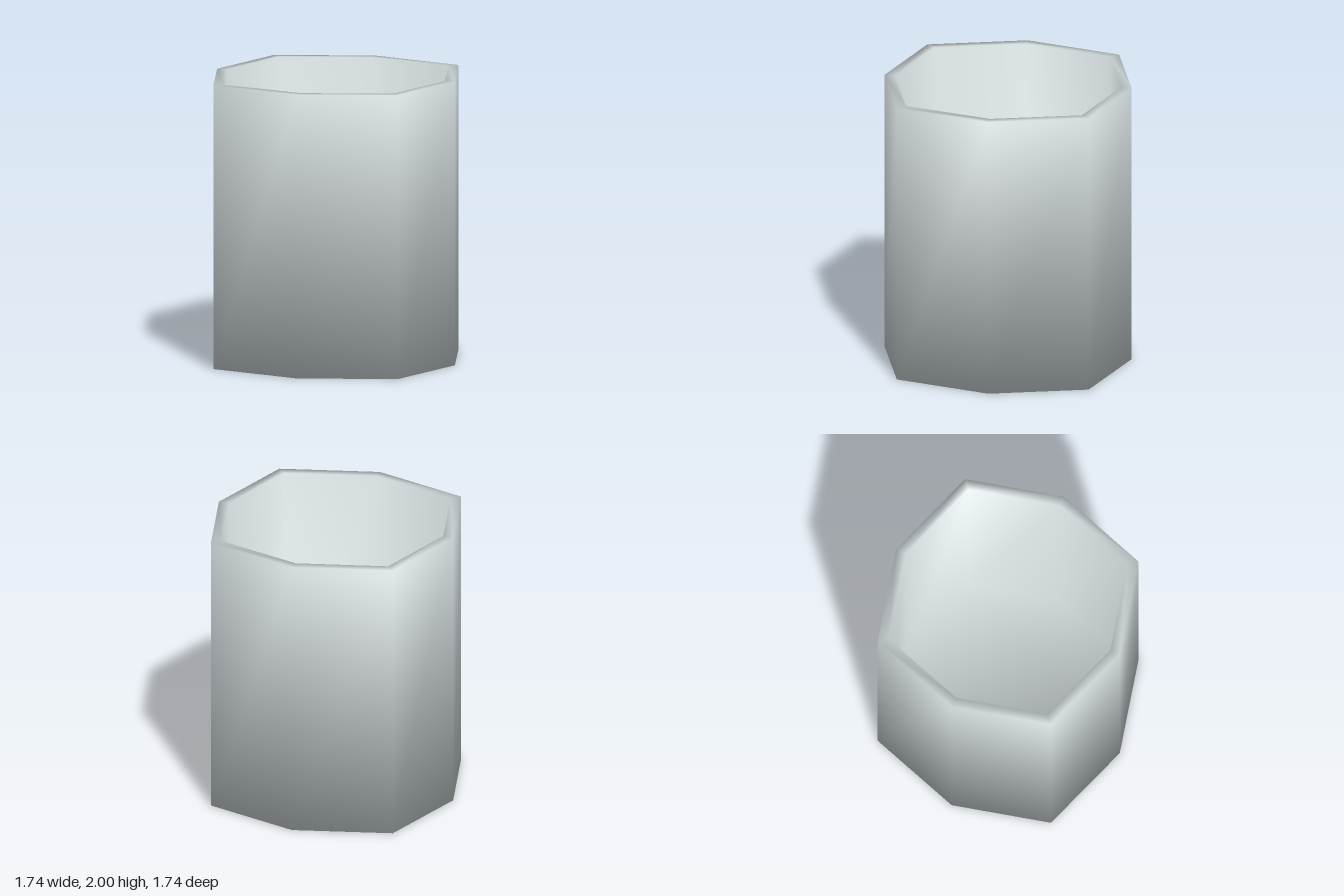
import * as THREE from 'three';

const SIDES = 8;
const HEIGHT = 2;
const FLOOR = 0.07;

// One octagonal loop: alternating radii on the axes and the diagonals.
// Each corner normal blends the two walls (pointing outward or inward)
// with the adjoining flat face (pointing up or down).
function ring(y, axisR, diagR, outward, up, reflex = false) {
  const loop = [];
  for (let i = 0; i < SIDES; i++) {
    const a = (i / SIDES) * Math.PI * 2;
    const r = i % 2 ? diagR : axisR;
    const corner = i % 2 ? 122.2 : 147.8; // interior angle in degrees
    const radial = outward * 180 * Math.sin(THREE.MathUtils.degToRad(corner / 2));
    const vertical = up * (reflex ? 360 - corner : corner);
    loop.push({
      p: [Math.sin(a) * r, y, Math.cos(a) * r],
      n: new THREE.Vector3(Math.sin(a) * radial, vertical, Math.cos(a) * radial).normalize().toArray(),
    });
  }
  return loop;
}

function surface(vertices, index) {
  const g = new THREE.BufferGeometry();
  g.setAttribute('position', new THREE.Float32BufferAttribute(vertices.flatMap(v => v.p), 3));
  g.setAttribute('normal', new THREE.Float32BufferAttribute(vertices.flatMap(v => v.n), 3));
  g.setIndex(index);
  return g;
}

// Band of quads between two loops, facing outward when b lies above a
function band(a, b) {
  const index = [];
  for (let i = 0; i < SIDES; i++) {
    const j = (i + 1) % SIDES;
    index.push(i, j, SIDES + j, i, SIDES + j, SIDES + i);
  }
  return surface([...a, ...b], index);
}

// Flat octagon filling a loop
function cap(loop, up) {
  const index = [];
  for (let i = 1; i < SIDES - 1; i++) index.push(0, ...(up ? [i, i + 1] : [i + 1, i]));
  return surface(loop, index);
}

export function createModel() {
  const cup = new THREE.Group();
  cup.name = 'cup';
  const paleGrey = new THREE.MeshStandardMaterial({ color: 0xc8d0d2 });
  paleGrey.name = 'paleGrey';

  const outerBottom = ring(0, 0.87, 0.955, 1, -1);
  const outerTop = ring(HEIGHT, 0.87, 0.955, 1, 1);
  const innerTop = ring(HEIGHT, 0.796, 0.876, -1, 1, true);
  const innerBottom = ring(FLOOR, 0.796, 0.876, -1, 1);

  const parts = {
    outerWall: band(outerBottom, outerTop),
    rim: band(outerTop, innerTop),
    innerWall: band(innerTop, innerBottom),
    innerFloor: cap(innerBottom, true),
    base: cap(outerBottom, false),
  };
  for (const [name, geometry] of Object.entries(parts)) {
    const mesh = new THREE.Mesh(geometry, paleGrey);
    mesh.name = name;
    cup.add(mesh);
  }
  return cup;
}
